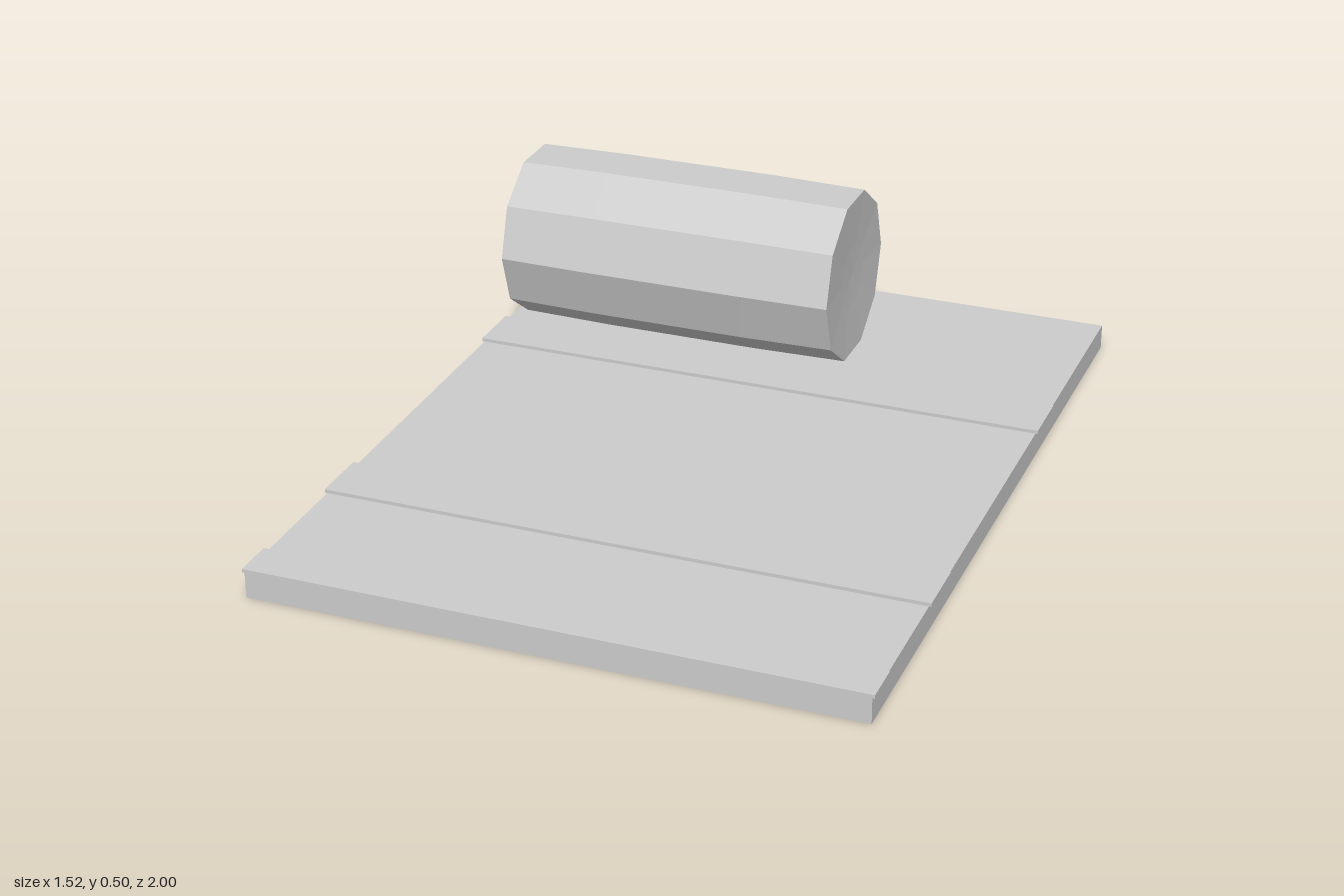
import * as THREE from 'three';

export function createModel() {
  const model = new THREE.Group();
  const grey = new THREE.MeshStandardMaterial({ color: 0xcccccc, flatShading: true });
  grey.name = 'light grey';

  const add = (name, geometry, x, y, z) => {
    const mesh = new THREE.Mesh(geometry, grey);
    mesh.name = name;
    mesh.position.set(x, y, z);
    model.add(mesh);
    return mesh;
  };

  // Flat base slab
  add('baseSlab', new THREE.BoxGeometry(1.512, 0.065, 2), 0, 0.0325, 0);

  // Thin raised bands across the slab, slightly overhanging its sides
  const bands = [[0.895, 1], [0.437, 0.588], [-0.47, -0.32]];
  bands.forEach(([back, front], i) => {
    add(`band${i + 1}`, new THREE.BoxGeometry(1.524, 0.009, front - back), 0, 0.0695, (back + front) / 2);
  });

  // Ten-sided roll, faintly swollen in the middle, with shallow dished ends
  const half = 0.4525;
  const profile = [
    [0, -half + 0.008], [0.085, -half + 0.006], [0.227, -half],
    [0.231, -0.21], [0.231, 0.21],
    [0.227, half], [0.085, half - 0.006], [0, half - 0.008],
  ].map(([r, y]) => new THREE.Vector2(r, y));
  const roll = add('roll', new THREE.LatheGeometry(profile, 10), -0.273, 0.285, -0.607);
  roll.rotation.z = -Math.PI / 2;

  return model;
}
